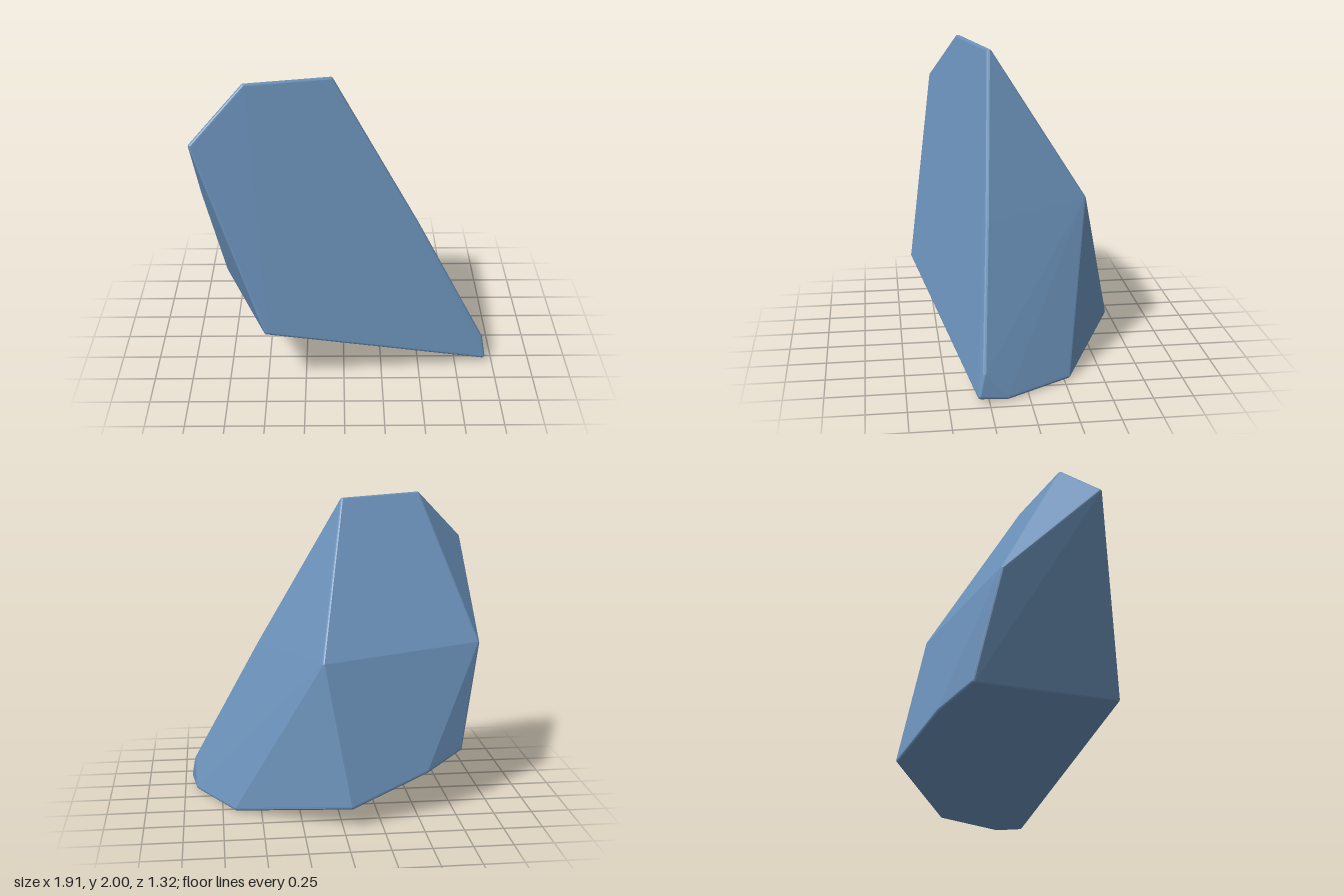
import * as THREE from 'three';
import { ConvexGeometry } from 'three/addons/geometries/ConvexGeometry.js';

const BEVEL = 0.018;

export function createModel() {
  const slateBlue = new THREE.MeshStandardMaterial({ color: 0x6a90b8 });
  slateBlue.name = 'slateBlue';

  // Main corners of the faceted stone
  const corners = [
    // front facet
    [-0.93, 1.68, 0.47], [-0.61, 2.0, 0.30], [-0.08, 1.985, 0.14],
    [0.49, 1.0, 0.215], [0.93, 0.16, 0.28], [0.95, 0.03, 0.31], [-0.5, 0.45, 0.655],
    // back ridge
    [0.11, 1.02, -0.48], [-0.955, 1.06, -0.15],
    // underside rim
    [-0.82, 0.37, -0.30], [-0.57, 0.28, -0.465], [-0.05, 0.125, -0.655],
    [0.67, 0, -0.28], [0.92, 0.005, 0.14],
  ];

  // Small beads pulled just inside each corner give the hull narrow bevelled edges
  const centre = new THREE.Vector3(-0.1, 0.9, 0);
  const bead = new THREE.IcosahedronGeometry(BEVEL, 1).getAttribute('position');
  const points = [];
  for (const c of corners) {
    const p = new THREE.Vector3(...c);
    p.addScaledVector(centre.clone().sub(p).normalize(), BEVEL * 1.15);
    for (let i = 0; i < bead.count; i++) {
      points.push(new THREE.Vector3().fromBufferAttribute(bead, i).add(p));
    }
  }

  const stone = new THREE.Mesh(new ConvexGeometry(points), slateBlue);
  stone.name = 'stone';

  const model = new THREE.Group();
  model.name = 'facetedStone';
  model.add(stone);
  return model;
}
